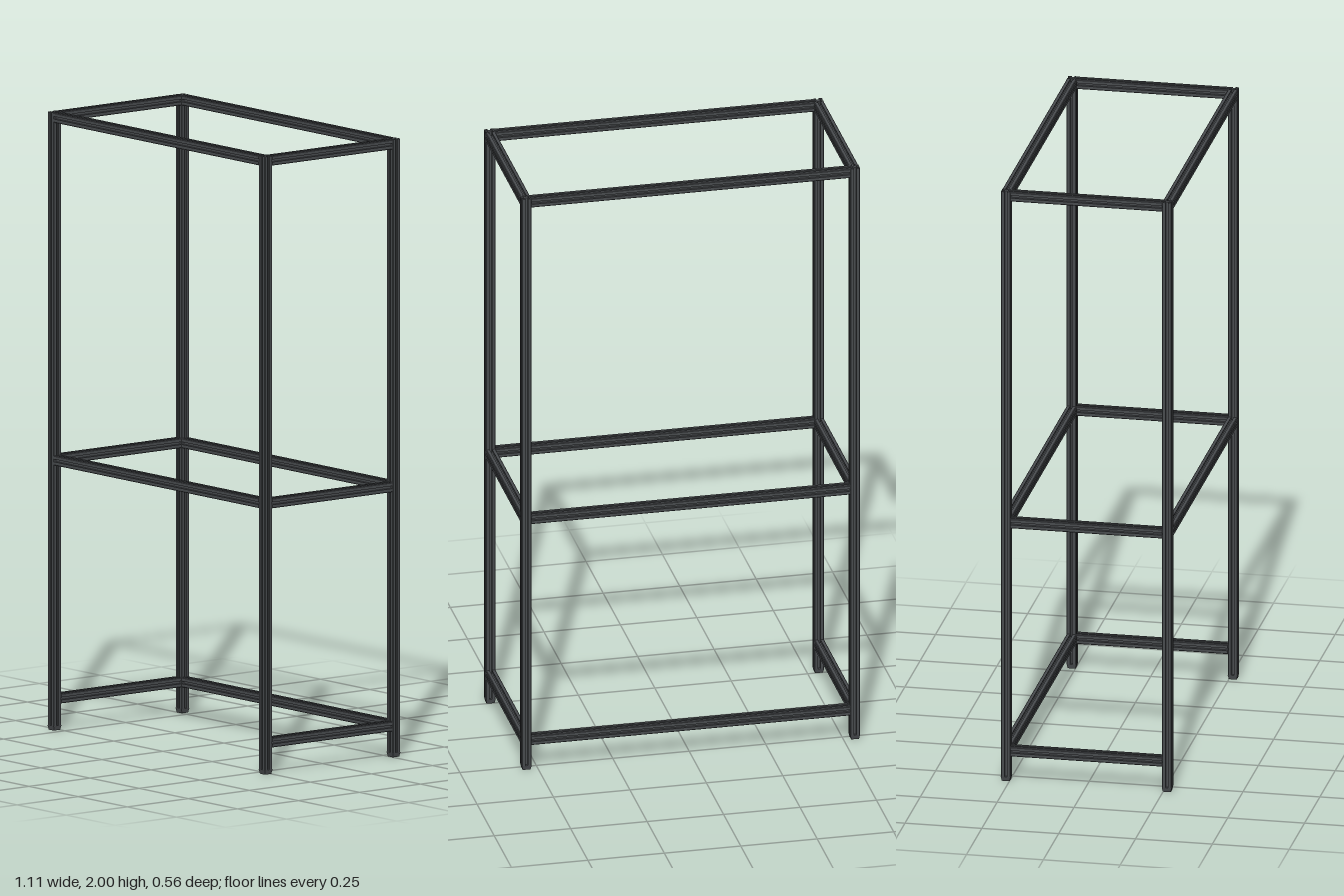
import * as THREE from 'three';

const SIZE = 0.0316, H = SIZE / 2;   // bar width
const PX = 0.537, PZ = 0.262;        // post centres
const FOOT = 0.015;                  // foot cap height

// Slotted square bar section: one side's corner and T-slot, turned four times
function barShape() {
  const side = [
    [H, -H + 0.002], [H, -0.0042], [H - 0.0024, -0.0042], [H - 0.0024, -0.008],
    [H - 0.005, -0.008], [H - 0.009, -0.004], [H - 0.009, 0.004], [H - 0.005, 0.008],
    [H - 0.0024, 0.008], [H - 0.0024, 0.0042], [H, 0.0042], [H, H - 0.002],
  ];
  const points = [];
  for (let i = 0; i < 4; i++) {
    const c = Math.round(Math.cos(i * Math.PI / 2)), s = Math.round(Math.sin(i * Math.PI / 2));
    for (const [x, y] of side) points.push(new THREE.Vector2(x * c - y * s, x * s + y * c));
  }
  return new THREE.Shape(points);
}

export function createModel() {
  const group = new THREE.Group();
  const metal = new THREE.MeshStandardMaterial({ color: 0x484b4e });
  metal.name = 'dark grey metal';
  const shape = barShape();

  // Bar of given length, centred, along x, y or z
  function bar(name, axis, length, x, y, z) {
    const geometry = new THREE.ExtrudeGeometry(shape, { depth: length, bevelEnabled: false });
    geometry.translate(0, 0, -length / 2);
    if (axis === 'x') geometry.rotateY(Math.PI / 2);
    if (axis === 'y') geometry.rotateX(-Math.PI / 2);
    const mesh = new THREE.Mesh(geometry, metal);
    mesh.name = name;
    mesh.position.set(x, y, z);
    group.add(mesh);
  }

  // Corner posts with tapered foot caps
  const capGeometry = new THREE.CylinderGeometry(H * Math.SQRT2, (H - 0.003) * Math.SQRT2, FOOT, 4, 1);
  capGeometry.rotateY(Math.PI / 4);
  const footGeometry = capGeometry.toNonIndexed();
  footGeometry.computeVertexNormals();
  for (const sx of [-1, 1]) for (const sz of [-1, 1]) {
    const corner = (sz > 0 ? 'front' : 'back') + (sx > 0 ? 'Left' : 'Right');
    bar(corner + 'Post', 'y', 2 - FOOT, sx * PX, 1 + FOOT / 2, sz * PZ);
    const foot = new THREE.Mesh(footGeometry, metal);
    foot.name = corner + 'Foot';
    foot.position.set(sx * PX, FOOT / 2, sz * PZ);
    group.add(foot);
  }

  // Rails between the posts; the bottom level is open at the front
  const levels = [['top', 2 - H, true], ['middle', 0.875, true], ['bottom', 0.101, false]];
  for (const [level, y, hasFront] of levels) {
    bar(level + 'BackRail', 'x', 2 * PX - SIZE, 0, y, -PZ);
    if (hasFront) bar(level + 'FrontRail', 'x', 2 * PX - SIZE, 0, y, PZ);
    bar(level + 'LeftRail', 'z', 2 * PZ - SIZE, PX, y, 0);
    bar(level + 'RightRail', 'z', 2 * PZ - SIZE, -PX, y, 0);
  }
  return group;
}
